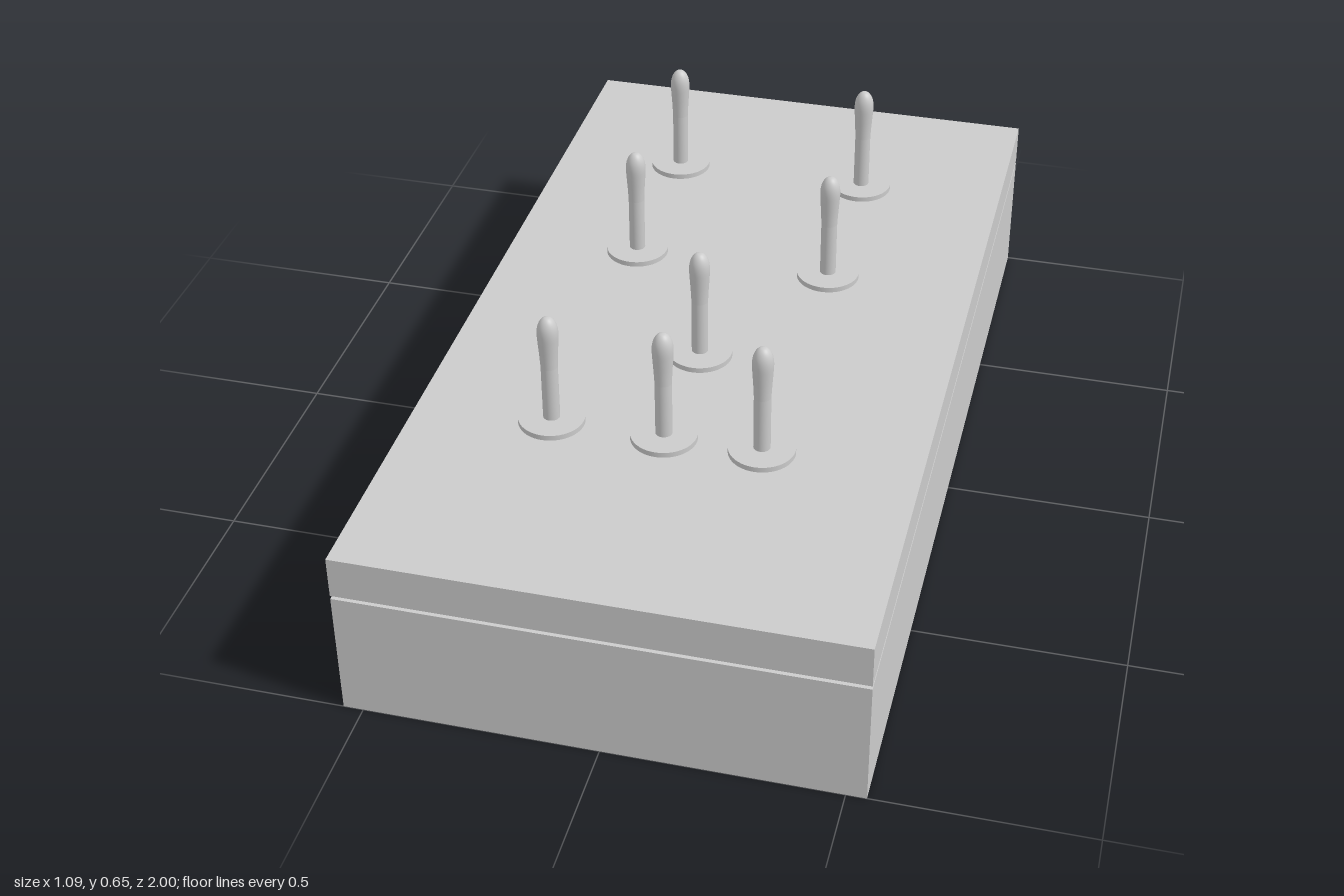
import * as THREE from 'three';

const WIDTH = 1.085, DEPTH = 2;
const LID_TOP = 0.39;

// Pin positions as [x, z]
const PINS = [
  [-0.247, -0.625], [0.206, -0.625],
  [-0.247, -0.219], [0.206, -0.219],
  [-0.003, 0.155],
  [-0.247, 0.463], [-0.003, 0.463], [0.206, 0.463],
];

export function createModel() {
  const group = new THREE.Group();
  const material = new THREE.MeshStandardMaterial({ color: 0xcccccc });

  const add = (parent, name, geometry, y) => {
    const mesh = new THREE.Mesh(geometry, material);
    mesh.name = name;
    mesh.position.y = y;
    parent.add(mesh);
  };
  const slab = (name, bottom, top) =>
    add(group, name, new THREE.BoxGeometry(WIDTH, top - bottom, DEPTH), (bottom + top) / 2);

  // Deep base and thin lid with a narrow open gap between them
  slab('base', 0, 0.289);
  slab('lid', 0.297, LID_TOP);

  // Round washer, straight shaft and slightly swollen rounded head
  const washer = new THREE.CylinderGeometry(0.071, 0.071, 0.012, 48);
  const shaft = new THREE.CylinderGeometry(0.018, 0.018, 0.16, 32);
  const headProfile = new THREE.SplineCurve([
    [0.018, 0], [0.0195, 0.03], [0.0215, 0.06], [0.0225, 0.083],
    [0.0205, 0.1], [0.015, 0.113], [0.0075, 0.1205], [0, 0.122],
  ].map(([r, y]) => new THREE.Vector2(r, y))).getPoints(24);
  headProfile.forEach((p) => { p.x = Math.max(p.x, 0); });
  const head = new THREE.LatheGeometry(headProfile, 32);

  PINS.forEach(([x, z], i) => {
    const pin = new THREE.Group();
    pin.name = `pin${i + 1}`;
    pin.position.set(x, LID_TOP, z);
    add(pin, 'washer', washer, 0.006);
    add(pin, 'shaft', shaft, 0.08);
    add(pin, 'head', head, 0.14);
    group.add(pin);
  });

  return group;
}
